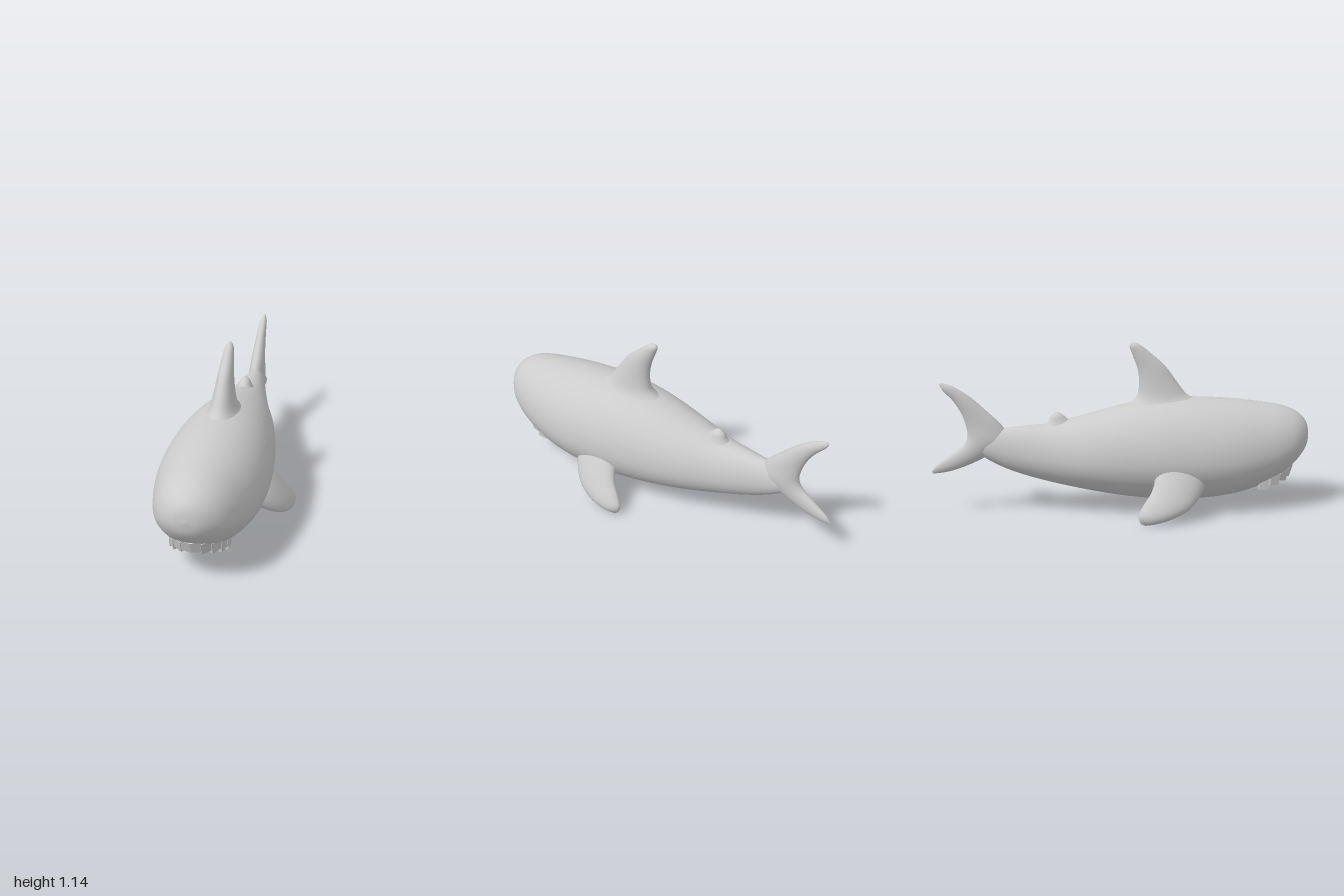
import * as THREE from 'three';

const material = new THREE.MeshStandardMaterial({ color: 0xcccccc });

// Catmull-Rom blend of a list of number rows, u from 0 to 1
function sampleKeys(keys, u) {
  const last = keys.length - 1;
  const i = Math.min(Math.floor(u * last), last - 1);
  const t = u * last - i;
  const at = (k) => keys[Math.max(0, Math.min(last, k))];
  return keys[0].map((_, c) => {
    const [a, b, d, e] = [at(i - 1)[c], at(i)[c], at(i + 1)[c], at(i + 2)[c]];
    return b + 0.5 * t * (d - a + t * (2 * a - 5 * b + 4 * d - e + t * (3 * (b - d) + e - a)));
  });
}

// Closed smooth skin over rings; point(u, angle) gives a surface point
function skin(name, rings, sides, point) {
  const pos = [], index = [];
  for (let i = 0; i <= rings; i++) {
    for (let j = 0; j < sides; j++) pos.push(...point(i / rings, (j / sides) * Math.PI * 2).toArray());
  }
  for (let i = 0; i < rings; i++) {
    for (let j = 0; j < sides; j++) {
      const k = (j + 1) % sides;
      const a = i * sides + j, b = i * sides + k, c = a + sides, d = b + sides;
      index.push(a, c, b, b, c, d);
    }
  }
  // Turn the faces outward if the enclosed volume comes out negative
  let volume = 0;
  const p = (k) => new THREE.Vector3().fromArray(pos, index[k] * 3);
  for (let k = 0; k < index.length; k += 3) volume += p(k).dot(p(k + 1).cross(p(k + 2)));
  if (volume < 0) index.reverse();
  const geometry = new THREE.BufferGeometry();
  geometry.setAttribute('position', new THREE.Float32BufferAttribute(pos, 3));
  geometry.setIndex(index);
  geometry.computeVertexNormals();
  const mesh = new THREE.Mesh(geometry, material);
  mesh.name = name;
  return mesh;
}

// Fin from rows of: leading point xyz, trailing point xyz, half thickness
function fin(name, keys) {
  const section = (u) => {
    const k = sampleKeys(keys, u);
    const lead = new THREE.Vector3(k[0], k[1], k[2]), trail = new THREE.Vector3(k[3], k[4], k[5]);
    return {
      mid: lead.clone().add(trail).multiplyScalar(0.5),
      chord: trail.sub(lead).multiplyScalar(0.5),
      thick: Math.max(0, k[6]),
    };
  };
  return skin(name, 32, 24, (u, angle) => {
    const s = section(u);
    const span = section(Math.min(1, u + 0.01)).mid.sub(section(Math.max(0, u - 0.01)).mid);
    const across = s.chord.clone().cross(span).normalize();
    return s.mid.addScaledVector(s.chord, Math.cos(angle)).addScaledVector(across, s.thick * Math.sin(angle));
  });
}

// Rows of an upright centred fin: leading x, y, trailing x, y, half thickness
const upright = (rows) => rows.map(([lx, ly, tx, ty, h]) => [lx, ly, 0, tx, ty, 0, h]);

export function createModel() {
  const model = new THREE.Group();
  model.name = 'shark';
  const shark = new THREE.Group();
  shark.name = 'swimmingShark';
  shark.rotation.y = 0.71; // nose points to the front right
  model.add(shark);

  // Body sections: x, top, bottom, half width
  const body = [
    [-1.25, 0.5, 0.5, 0], [-1.237, 0.575, 0.425, 0.075], [-1.2, 0.627, 0.36, 0.14],
    [-1.13, 0.673, 0.285, 0.205], [-1.03, 0.705, 0.208, 0.255], [-0.9, 0.725, 0.145, 0.295],
    [-0.72, 0.747, 0.095, 0.335], [-0.5, 0.762, 0.07, 0.353], [-0.25, 0.762, 0.07, 0.342],
    [0, 0.727, 0.095, 0.308], [0.25, 0.665, 0.14, 0.255], [0.5, 0.606, 0.197, 0.175],
    [0.7, 0.588, 0.255, 0.118], [0.85, 0.572, 0.315, 0.08], [0.97, 0.54, 0.385, 0.05],
    [1.06, 0.49, 0.46, 0],
  ];
  shark.add(skin('body', 90, 48, (u, angle) => {
    const [x, top, bottom, half] = sampleKeys(body, u);
    const mid = bottom + 0.44 * (top - bottom);
    const c = Math.cos(angle), s = Math.sin(angle);
    return new THREE.Vector3(x, mid + s * (s > 0 ? top - mid : mid - bottom), Math.max(0, half) * c);
  }));

  shark.add(fin('dorsalFin', upright([
    [-0.58, 0.66, 0.14, 0.62, 0.18], [-0.47, 0.745, 0.02, 0.705, 0.115], [-0.4, 0.79, -0.06, 0.77, 0.085],
    [-0.33, 0.88, -0.08, 0.86, 0.065], [-0.255, 0.98, -0.07, 0.96, 0.05], [-0.155, 1.07, -0.035, 1.06, 0.036],
    [-0.085, 1.125, -0.015, 1.115, 0.024], [-0.04, 1.142, -0.03, 1.141, 0],
  ])));

  shark.add(fin('rearDorsalFin', upright([
    [0.34, 0.57, 0.6, 0.55, 0.08], [0.395, 0.625, 0.54, 0.605, 0.05],
    [0.435, 0.66, 0.515, 0.65, 0.032], [0.465, 0.679, 0.485, 0.678, 0],
  ])));

  // Crescent tail, from the lower tip to the upper tip
  shark.add(fin('tailFin', upright([
    [1.305, 0.275, 1.315, 0.288, 0], [1.2, 0.288, 1.28, 0.335, 0.022], [1.08, 0.325, 1.18, 0.405, 0.034],
    [0.96, 0.38, 1.1, 0.465, 0.046], [0.8, 0.47, 1.07, 0.525, 0.062], [0.83, 0.58, 1.08, 0.605, 0.052],
    [0.935, 0.69, 1.11, 0.69, 0.042], [1.055, 0.8, 1.16, 0.77, 0.032], [1.165, 0.868, 1.22, 0.835, 0.022],
    [1.232, 0.888, 1.243, 0.878, 0],
  ])));

  // Pectoral fins sweep down, out and back
  const pectoral = [
    [-0.52, 0.29, 0.21, -0.1, 0.38, 0.19, 0.12], [-0.47, 0.19, 0.31, -0.15, 0.3, 0.285, 0.085],
    [-0.38, 0.105, 0.4, -0.125, 0.21, 0.355, 0.06], [-0.26, 0.05, 0.445, -0.065, 0.13, 0.395, 0.05],
    [-0.15, 0.018, 0.45, -0.03, 0.07, 0.42, 0.036], [-0.07, 0.005, 0.44, -0.04, 0.02, 0.435, 0],
  ];
  shark.add(fin('leftPectoralFin', pectoral));
  shark.add(fin('rightPectoralFin', pectoral.map(([a, b, c, d, e, f, h]) => [a, b, -c, d, e, -f, h])));

  // Teeth in a curved row under the snout
  const teeth = new THREE.Group();
  teeth.name = 'teeth';
  const count = 10;
  for (let i = 0; i < count; i++) {
    const a = (i / (count - 1) - 0.5) * Math.PI * 0.94;
    const tooth = new THREE.Mesh(new THREE.BoxGeometry(0.03, 0.085, 0.07), material);
    tooth.name = 'tooth';
    tooth.position.set(-0.89 - 0.235 * Math.cos(a), 0.185 + 0.085 * Math.cos(a), 0.175 * Math.sin(a));
    // Face outward along the row, tipped with the slope of the jaw
    tooth.rotation.set(0, Math.atan2(0.235 * Math.sin(a), 0.175 * Math.cos(a)), 0.35 * Math.cos(a));
    tooth.rotation.order = 'ZYX';
    teeth.add(tooth);
  }
  shark.add(teeth);
  return model;
}
